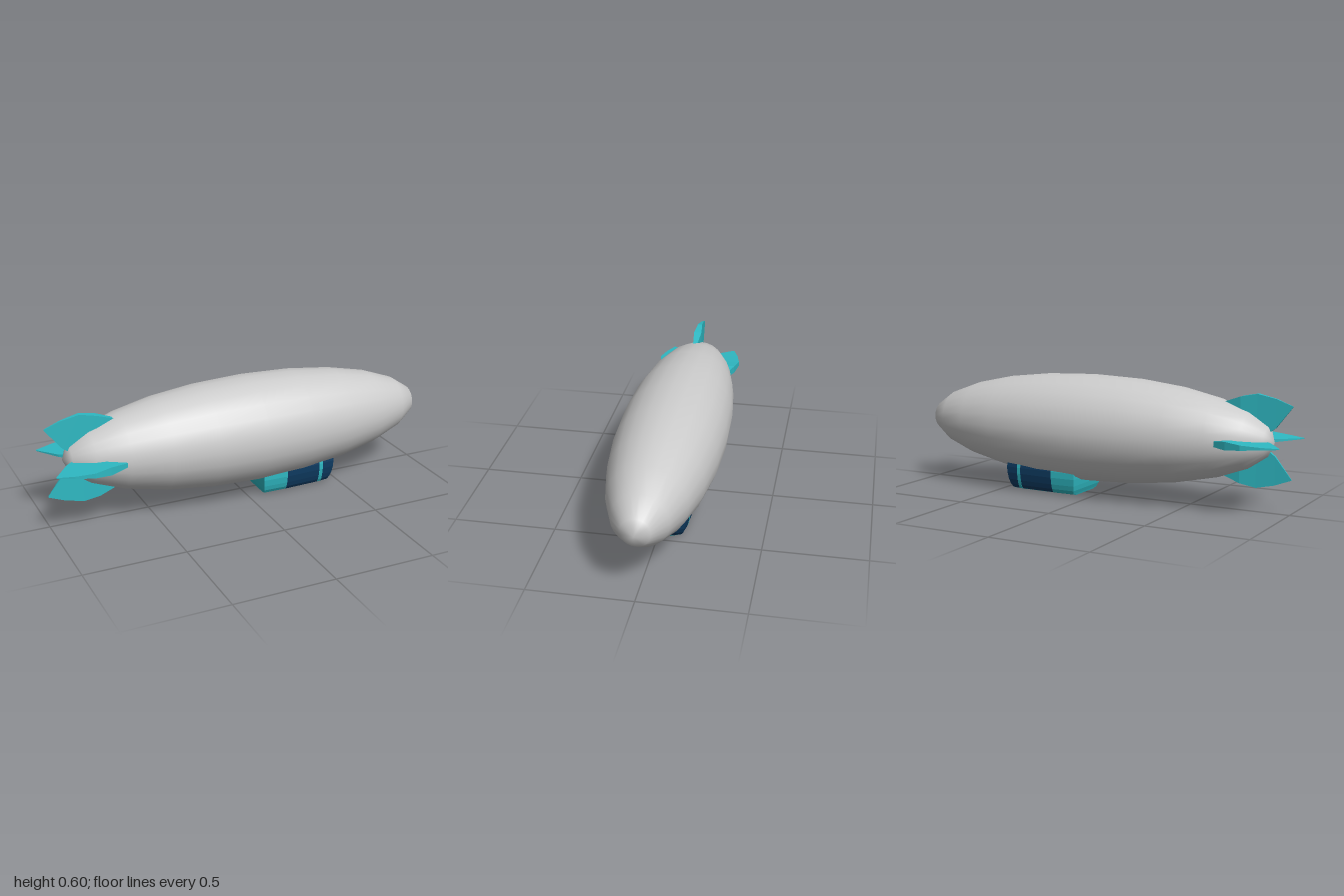
import * as THREE from 'three';

const paint = (color, flatShading = true) =>
  new THREE.MeshStandardMaterial({ color, flatShading, side: THREE.DoubleSide });
const teal = paint(0x2fb9c3);
const navy = paint(0x0e3a60);
const grey = new THREE.MeshStandardMaterial({ color: 0xcccccc });

// Skin a grid of equal-length rows of points; optionally cap both ends and close each row
function loft(rows, closed = false) {
  const n = rows[0].length, index = [];
  for (let i = 0; i < rows.length - 1; i++) {
    for (let j = 0; j < (closed ? n : n - 1); j++) {
      const a = i * n + j, b = i * n + (j + 1) % n, c = a + n, d = b + n;
      index.push(a, b, c, b, d, c);
    }
  }
  if (closed) {
    for (const base of [0, (rows.length - 1) * n]) {
      for (let j = 1; j < n - 1; j++) index.push(base, base + j, base + j + 1);
    }
  }
  const geometry = new THREE.BufferGeometry();
  geometry.setAttribute('position', new THREE.Float32BufferAttribute(rows.flat(2), 3));
  geometry.setIndex(index);
  geometry.computeVertexNormals();
  return geometry;
}

function addMesh(parent, name, geometry, material) {
  const mesh = new THREE.Mesh(geometry, material);
  mesh.name = name;
  parent.add(mesh);
  return mesh;
}

// Tail fin: chordwise stations of [x, inner radius, outer radius, half thickness]
function finGeometry() {
  const stations = [
    [-1, 0.168, 0.173, 0.002], [-0.92, 0.066, 0.203, 0.006], [-0.83, 0, 0.222, 0.012],
    [-0.75, 0, 0.206, 0.02], [-0.66, 0, 0.174, 0.011],
  ];
  return loft(stations.map(([x, r0, r1, t]) =>
    [[x, r0, -t], [x, r1, -t], [x, r1, t], [x, r0, t]]), true);
}

// Cabin levels: [height, width factor, front length factor, rear length factor]
const levels = [
  [0.003, 0.62, 0.6, 0.88], [0.012, 0.83, 0.63, 0.9], [0.03, 0.91, 0.76, 0.95],
  [0.055, 0.96, 0.88, 0.98], [0.09, 1, 0.97, 1], [0.12, 1, 1, 1], [0.145, 0.97, 0.95, 1],
];
// Frames and the ring stay upright while nose and rear taper inward toward the floor
function cabinPoint([x, z], [y, w, front, rear]) {
  const px = x > 0.405 ? 0.405 + (x - 0.405) * front : x < 0.2 ? 0.2 + (x - 0.2) * rear : x;
  return [px, y, z * w];
}
const wall = (plan, rows) => loft(rows.map(level => plan.map(p => cabinPoint(p, level))));

function createCabin() {
  const cabin = new THREE.Group();
  cabin.name = 'cabin';
  const nose = [[0.405, 0.136], [0.472, 0.127], [0.49, 0.095], [0.503, 0.05], [0.508, 0]];
  const sections = [
    ['rearWall', [[0.07, 0], [0.07, 0.143], [0.2, 0.146]], teal],
    ['sideWindow', [[0.2, 0.146], [0.385, 0.138]], navy],
    ['windowPost', [[0.385, 0.139], [0.405, 0.137]], teal],
    ['windscreen', nose, navy],
  ];
  const floorPlan = [];
  for (const [name, plan, material] of sections) {
    floorPlan.push(...plan);
    for (const side of [1, -1]) {
      const half = plan.map(([x, z]) => [x, z * side]);
      addMesh(cabin, name, wall(half, levels.slice(1)), material);
      addMesh(cabin, 'sill', wall(half, levels.slice(0, 2)), teal);
    }
  }
  // Flat floor joining the two lower edges
  const edge = floorPlan.map(p => cabinPoint(p, levels[0]));
  addMesh(cabin, 'floor', loft([edge, edge.map(([x, y, z]) => [x, y, -z])]), teal);
  cabin.position.z = -0.005;
  return cabin;
}

export function createModel() {
  const model = new THREE.Group();
  model.name = 'airship';
  const axisY = 0.338;

  // Smooth ellipsoid envelope lying along x
  const hull = new THREE.SphereGeometry(1, 24, 12).rotateZ(-Math.PI / 2).scale(0.96, 0.268, 0.268);
  addMesh(model, 'envelope', hull, grey).position.set(0.04, axisY, 0);

  // Four fins set crosswise round the tail
  const tail = new THREE.Group();
  tail.name = 'tail';
  tail.position.set(0, axisY, 0.012);
  const fin = finGeometry();
  for (let i = 0; i < 4; i++) addMesh(tail, 'tailFin', fin, teal).rotation.x = i * Math.PI / 2;
  model.add(tail);

  model.add(createCabin());
  return model;
}
